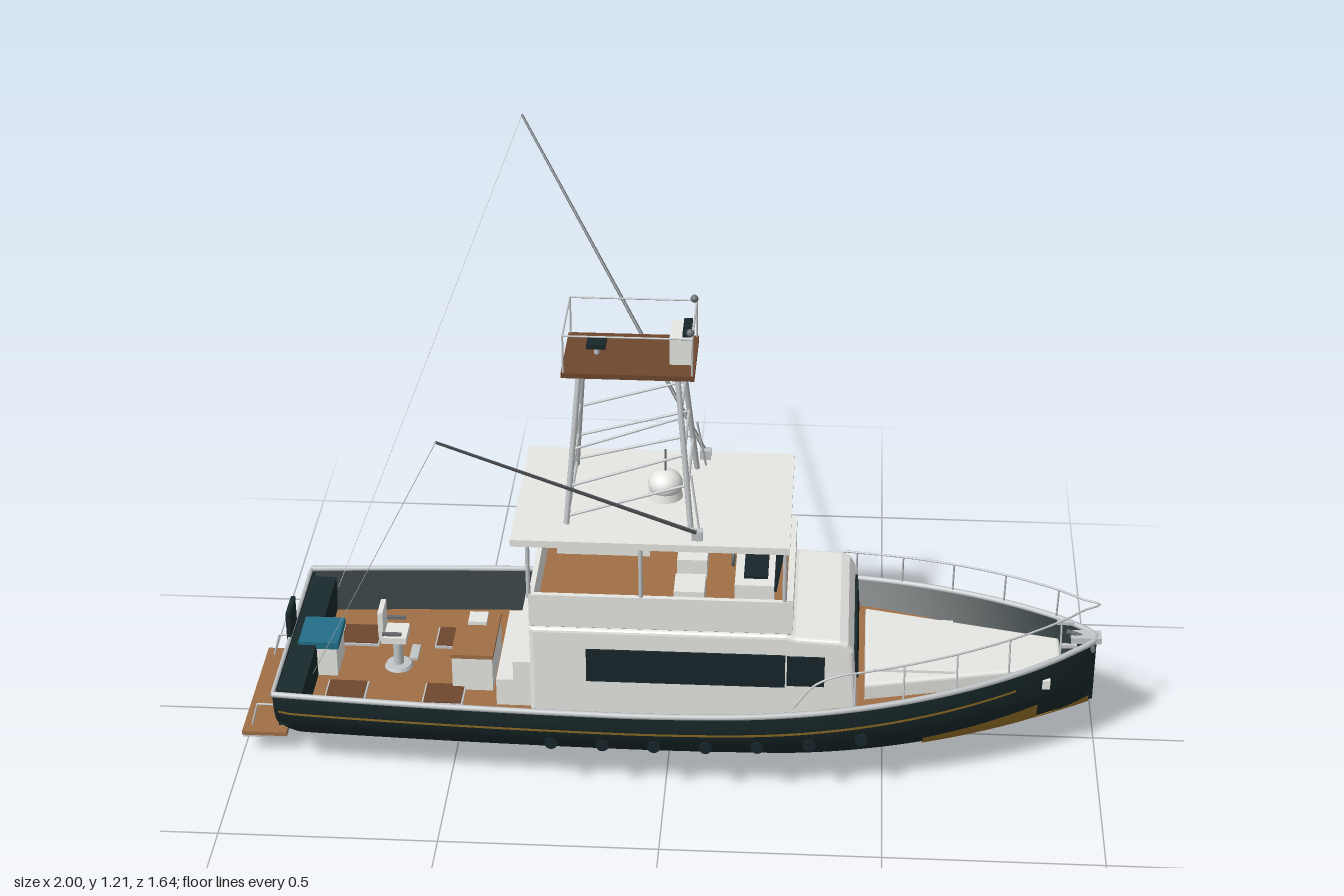
import * as THREE from 'three';

const V = (x, y, z) => new THREE.Vector3(x, y, z);
const mat = (name, hex, side = THREE.FrontSide) => {
  const m = new THREE.MeshStandardMaterial({ color: hex, side });
  m.name = name;
  return m;
};

// Hull lines: half beam, sheer, keel and section shape along x
const beam = x => x > 0.1 ? 0.315 * (1 - Math.min(1, (x - 0.1) / 0.89) ** 2.1) ** 0.8 : 0.315 - 0.04 * (0.1 - x) ** 2;
const sheer = x => 0.232 + 0.055 * Math.max(0, (x + 0.1) / 1.1) ** 1.5;
const keel = x => x > 0.25 ? 0.11 * ((x - 0.25) / 0.73) ** 1.6 : 0.03 * Math.max(0, (-0.85 - x) / 0.05) ** 2;
const half = (x, t) => beam(x) * (1 - (1 - t) ** 2.5) ** (0.75 - 0.5 * Math.max(0, x - 0.2));
const hullPoint = (x, t, side, off = 0) =>
  V(x, keel(x) + t * (sheer(x) - keel(x)) - off * (1 - t), side * (half(x, t) + off));
const tAt = (x, y) => (y - keel(x)) / (sheer(x) - keel(x));

// Smooth surface from a rule fn(u, v)
function grid(nu, nv, fn) {
  const pos = [], idx = [];
  for (let i = 0; i <= nu; i++) for (let j = 0; j <= nv; j++) pos.push(...fn(i / nu, j / nv).toArray());
  for (let i = 0; i < nu; i++) for (let j = 0; j < nv; j++) {
    const a = i * (nv + 1) + j, b = a + nv + 1;
    idx.push(a, b, a + 1, b, b + 1, a + 1);
  }
  const g = new THREE.BufferGeometry();
  g.setAttribute('position', new THREE.Float32BufferAttribute(pos, 3));
  g.setIndex(idx);
  g.computeVertexNormals();
  return g;
}

export function createModel() {
  const model = new THREE.Group();
  const hullDark = mat('hull dark green', 0x1a2a2c, THREE.DoubleSide);
  const gold = mat('gold', 0xa0782c, THREE.DoubleSide);
  const white = mat('white paint', 0xf0f0ed);
  const teak = mat('teak', 0xa07046, THREE.DoubleSide);
  const darkTeak = mat('dark teak', 0x6f482f);
  const glass = mat('dark glass', 0x18262a, THREE.DoubleSide);
  const metal = mat('metal', 0xc2c6c8);
  const pole = mat('dark pole', 0x6a6e71);
  const teal = mat('teal', 0x236f88);

  const add = (name, geo, m, x = 0, y = 0, z = 0) => {
    const mesh = new THREE.Mesh(geo, m);
    mesh.name = name;
    mesh.position.set(x, y, z);
    model.add(mesh);
    return mesh;
  };
  // Box given by its min and max corners
  const box = (name, m, x0, x1, y0, y1, z0, z1) => add(name, new THREE.BoxGeometry(x1 - x0, y1 - y0, z1 - z0), m,
    (x0 + x1) / 2, (y0 + y1) / 2, (z0 + z1) / 2);
  const rod = (name, m, a, b, r = 0.004, r2 = r) => {
    const d = b.clone().sub(a);
    const mesh = add(name, new THREE.CylinderGeometry(r2, r, d.length(), 8), m);
    mesh.position.copy(a).addScaledVector(d, 0.5);
    mesh.quaternion.setFromUnitVectors(V(0, 1, 0), d.normalize());
    return mesh;
  };
  const tube = (name, m, pts, r) => add(name, new THREE.TubeGeometry(new THREE.CatmullRomCurve3(pts), 160, r, 8), m);
  const skin = (name, m, x0, x1, t0, t1, off, nu, nv) => {
    for (const s of [1, -1]) add(name, grid(nu, nv, (u, v) =>
      hullPoint(x0 + (x1 - x0) * u, t0 + (t1 - t0) * (s > 0 ? v : 1 - v), s, off)), m);
  };

  // Hull, transom and painted patches
  skin('hullSide', hullDark, -0.9, 0.99, 0, 1, 0, 100, 24);
  add('transom', grid(2, 24, (u, v) => { const p = hullPoint(-0.9, v, 1); p.z *= 1 - 2 * u; return p; }), hullDark);
  box('transomBulkhead', hullDark, -0.895, -0.835, 0.13, 0.226, -0.25, 0.25);
  skin('bowPatch', gold, 0.59, 0.855, 0.13, 0.42, 0.003, 10, 6);
  skin('stemPatch', gold, 0.855, 0.98, 0, 0.13, 0.003, 8, 6);
  skin('sheerStripe', gold, -0.89, 0.8, 0.76, 0.79, 0.003, 60, 1);

  // Cap rail around the sheer
  const edge = (rule, x0, x1, n) => {
    const side = [...Array(n + 1)].map((_, i) => rule(x0 + (x1 - x0) * i / n));
    return [...side, ...side.slice(0, -1).reverse().map(p => V(p.x, p.y, -p.z))];
  };
  tube('capRail', metal, edge(x => V(x, sheer(x), beam(x) + 0.001), -0.9, 0.988, 30), 0.007);
  rod('transomRail', metal, V(-0.9, 0.232, -0.275), V(-0.9, 0.232, 0.275), 0.005);

  // Deck, lifting towards the bow, with inner bulwarks sloping up to the sheer
  const deckY = x => 0.14 + 0.06 * THREE.MathUtils.smoothstep(x, 0.1, 0.45);
  const deckHalf = x => Math.max(0.005, Math.min(half(x, tAt(x, deckY(x))), beam(x) - 0.042));
  const deckX = u => -0.89 + 1.84 * u;
  add('deck', grid(60, 2, (u, v) => V(deckX(u), deckY(deckX(u)), (2 * v - 1) * deckHalf(deckX(u)))), teak);
  for (const s of [1, -1]) add('innerBulwark', grid(60, 1, (u, v) => {
    const x = deckX(u);
    return V(x, v ? sheer(x) - 0.003 : deckY(x), s * (v ? beam(x) - 0.006 : deckHalf(x)));
  }), hullDark);

  // Portholes, hawse plates and bow cleats
  for (const s of [1, -1]) {
    for (let i = 0; i < 7; i++) {
      const x = -0.26 + i * 0.118, y = 0.136 + 0.022 * (i / 6) ** 2;
      const p = add('porthole', new THREE.CylinderGeometry(0.015, 0.015, 0.024, 16), glass, x, y, s * half(x, tAt(x, y)));
      p.rotation.x = Math.PI / 2;
    }
    const z = s * (half(0.87, 0.72) + 0.002);
    box('hawsePlate', white, 0.862, 0.88, 0.21, 0.232, z - 0.008, z + 0.008);
    box('bowCleat', metal, 0.9, 0.94, 0.285, 0.293, s * 0.05 - 0.005, s * 0.05 + 0.005);
  }
  box('anchorRoller', metal, 0.93, 1, 0.275, 0.29, -0.018, 0.018);
  rod('anchorShank', pole, V(0.92, 0.297, 0), V(0.995, 0.27, 0), 0.006);
  rod('anchorStock', pole, V(0.98, 0.268, -0.035), V(0.98, 0.268, 0.035), 0.006);

  // Bow rail with stanchions
  const railY = x => 0.33 + 0.043 * (x - 0.38) / 0.6;
  const railZ = x => Math.max(0, beam(x) - 0.02);
  const rail = edge(x => V(x, railY(x), railZ(x)), 0.4, 0.99, 16);
  tube('bowRail', metal, [V(0.29, 0.245, 0.28), V(0.34, 0.305, 0.273), ...rail, V(0.34, 0.305, -0.273), V(0.29, 0.245, -0.28)], 0.0026);
  for (const x of [0.43, 0.54, 0.66, 0.78, 0.9]) for (const s of [1, -1])
    rod('bowStanchion', metal, V(x, sheer(x), s * beam(x)), V(x, railY(x), s * railZ(x)), 0.0022);

  // Foredeck trunk
  const plan = new THREE.Shape([[0.46, -0.158], [0.9, -0.055], [0.9, 0.055], [0.46, 0.158]].map(p => new THREE.Vector2(...p)));
  add('foredeckTrunk', new THREE.ExtrudeGeometry(plan, { depth: 0.05, bevelSize: 0.008, bevelThickness: 0.008, bevelSegments: 3 })
    .rotateX(-Math.PI / 2), white, 0, 0.182, 0);
  box('foredeckHatch', white, 0.47, 0.66, 0.238, 0.247, -0.11, 0.11);

  // Deck house with side windows and windshield
  const profile = new THREE.Shape([[-0.305, 0.13], [0.43, 0.13], [0.415, 0.345], [0.405, 0.36], [0.39, 0.366], [0.29, 0.37], [0.27, 0.376], [-0.305, 0.376]]
    .map(p => new THREE.Vector2(...p)));
  add('deckHouse', new THREE.ExtrudeGeometry(profile, { depth: 0.38, bevelSize: 0.01, bevelThickness: 0.01, bevelSegments: 3 }), white, 0, 0, -0.19);
  for (const s of [1, -1]) {
    box('sideWindow', glass, -0.185, 0.27, 0.25, 0.335, s * 0.202 - 0.003, s * 0.202 + 0.003);
    box('forwardSideWindow', glass, 0.274, 0.36, 0.255, 0.333, s * 0.202 - 0.003, s * 0.202 + 0.003);
    const w = box('windshield', glass, 0.427, 0.435, 0.255, 0.335, s * 0.083 - 0.078, s * 0.083 + 0.078);
    w.rotation.z = 0.07;
  }
  box('houseStep', white, -0.4, -0.31, 0.13, 0.21, -0.15, 0.15);
  box('houseUpperStep', white, -0.36, -0.31, 0.2, 0.26, -0.15, 0.15);
  const ring = add('lifeRing', new THREE.TorusGeometry(0.028, 0.009, 10, 24), gold, -0.322, 0.285, -0.178);
  ring.rotation.y = Math.PI / 2;

  // Flybridge floor, coaming, helm and seats
  box('flybridgeFloor', teak, -0.31, 0.28, 0.382, 0.392, -0.19, 0.19);
  for (const s of [1, -1]) box('sideCoaming', white, -0.315, 0.285, 0.387, 0.47, s * 0.185 - 0.006, s * 0.185 + 0.006);
  box('frontCoaming', white, 0.27, 0.285, 0.387, 0.475, -0.19, 0.19);
  box('aftCoaming', white, -0.315, -0.303, 0.387, 0.47, -0.19, 0.19);
  box('helmConsole', white, 0.15, 0.24, 0.39, 0.475, -0.13, 0.13);
  box('helmPanel', glass, 0.17, 0.225, 0.475, 0.482, -0.1, 0.1);
  const wheel = add('steeringWheel', new THREE.TorusGeometry(0.022, 0.004, 8, 20), pole, 0.142, 0.475, 0);
  wheel.rotation.y = Math.PI / 2;
  for (const s of [1, -1]) {
    box('helmSeat', white, 0.01, 0.08, 0.39, 0.44, s * 0.07 - 0.04, s * 0.07 + 0.04);
    box('sideBench', white, -0.28, -0.06, 0.39, 0.43, s * 0.15 - 0.03, s * 0.15 + 0.03);
  }
  for (const z of [-0.114, 0, 0.114]) {
    const pane = box('flybridgeWindscreen', glass, 0.248, 0.254, 0.485, 0.585, z - 0.056, z + 0.056);
    pane.rotation.z = -0.15;
  }

  // Hard top and posts
  box('hardTop', white, -0.35, 0.275, 0.61, 0.627, -0.215, 0.215);
  for (const x of [-0.315, -0.06, 0.265]) for (const s of [1, -1])
    rod('hardTopPost', metal, V(x, 0.46, s * 0.185), V(x, 0.612, s * 0.185), 0.005);

  // Radar dome
  add('radarBase', new THREE.CylinderGeometry(0.036, 0.04, 0.02, 24), white, -0.015, 0.64, 0);
  add('radarDome', new THREE.SphereGeometry(0.04, 24, 16), white, -0.015, 0.662, 0).scale.y = 0.85;
  rod('radarSpike', pole, V(-0.015, 0.69, 0), V(-0.015, 0.75, 0), 0.002);

  // Lookout tower: leaning legs, braces, platform, rails
  const leg = (end, s, y) => { // end 0 is aft, 1 is forward
    const k = (y - 0.627) / 0.358;
    return end ? V(0.05 - 0.035 * k, y, s * (0.135 - 0.068 * k)) : V(-0.23 + 0.028 * k, y, s * (0.135 - 0.068 * k));
  };
  for (const s of [1, -1]) {
    for (const e of [0, 1]) rod('towerLeg', metal, leg(e, s, 0.627), leg(e, s, 0.985), 0.0065);
    for (const y of [0.645, 0.715, 0.8]) rod('towerBrace', metal, leg(0, s, y), leg(1, s, y + 0.08), 0.0032);
  }
  for (const y of [0.715, 0.8, 0.885]) {
    rod('towerRung', metal, leg(1, -1, y), leg(1, 1, y), 0.0035);
    rod('towerRung', metal, leg(0, -1, y - 0.08), leg(0, 1, y - 0.08), 0.0035);
  }
  box('towerPlatform', darkTeak, -0.24, 0.055, 0.978, 0.99, -0.1, 0.1);
  const corners = [[-0.235, -0.096], [0.05, -0.096], [0.05, 0.096], [-0.235, 0.096]];
  corners.forEach(([x, z], i) => {
    const [x2, z2] = corners[(i + 1) % 4];
    rod('towerRailPost', metal, V(x, 0.985, z), V(x, 1.08, z), 0.0022);
    rod('towerRail', metal, V(x, 1.08, z), V(x2, 1.08, z2), 0.0022);
    if (x > 0) add('towerLight', new THREE.SphereGeometry(0.009, 12, 8), pole, x - 0.005, 1.09, z * 0.88);
  });
  box('towerConsole', white, -0.003, 0.045, 0.99, 1.056, -0.045, 0.045);
  box('towerConsoleTop', glass, 0.025, 0.044, 1.056, 1.064, -0.04, 0.04);
  box('towerSeat', glass, -0.19, -0.147, 1.01, 1.02, -0.021, 0.021);
  rod('towerSeatPost', metal, V(-0.168, 0.985, 0), V(-0.168, 1.01, 0), 0.006);

  // Outriggers, lines and antennas
  for (const s of [1, -1]) {
    const tip = V(-0.415, 1.21, s * 0.82);
    box('outriggerBase', metal, 0.055, 0.08, 0.627, 0.65, s * 0.185 - 0.01, s * 0.185 + 0.01);
    rod('outrigger', pole, V(0.068, 0.642, s * 0.185), tip, 0.0048, 0.003);
    rod('outriggerLine', metal, tip, V(-0.82, 0.235, s * 0.19), 0.0007);
    rod('antenna', metal, V(0.07, 0.627, s * 0.15), V(0.05, 0.755, s * 0.125), 0.0025);
  }

  // Cockpit: hatches, bait station, fighting chair, cooler
  for (const s of [1, -1]) for (const x of [-0.757, -0.527]) {
    box('hatchFrame', metal, x - 0.048, x + 0.048, 0.139, 0.146, s * 0.122 - 0.043, s * 0.122 + 0.043);
    box('hatch', darkTeak, x - 0.044, x + 0.044, 0.14, 0.149, s * 0.122 - 0.039, s * 0.122 + 0.039);
  }
  box('baitStation', white, -0.51, -0.415, 0.14, 0.228, -0.093, 0.093);
  box('baitStationTop', teak, -0.512, -0.413, 0.228, 0.238, -0.096, 0.096);
  box('baitTray', white, -0.486, -0.442, 0.238, 0.247, -0.082, -0.036);
  rod('chairPost', metal, V(-0.65, 0.14, 0), V(-0.65, 0.225, 0), 0.012);
  add('chairFoot', new THREE.CylinderGeometry(0.03, 0.034, 0.008, 20), metal, -0.65, 0.145, 0);
  box('chairSeat', white, -0.685, -0.625, 0.222, 0.238, -0.034, 0.034);
  box('chairBack', white, -0.69, -0.678, 0.238, 0.305, -0.032, 0.032);
  for (const s of [1, -1]) box('chairArm', pole, -0.68, -0.635, 0.248, 0.255, s * 0.037 - 0.004, s * 0.037 + 0.004);
  box('chairFootrest', metal, -0.62, -0.6, 0.175, 0.182, -0.03, 0.03);
  box('cooler', white, -0.872, -0.788, 0.14, 0.216, -0.052, 0.052);
  box('coolerLid', teal, -0.877, -0.783, 0.216, 0.234, -0.056, 0.056);
  box('transomDoor', hullDark, -0.906, -0.896, 0.17, 0.3, -0.04, 0.04);

  // Swim platform with side frames
  box('swimPlatform', teak, -1, -0.895, 0.05, 0.06, -0.18, 0.18);
  box('platformUnderside', metal, -0.998, -0.895, 0.044, 0.05, -0.178, 0.178);
  for (const s of [1, -1]) {
    const z = s * 0.15;
    rod('platformPost', metal, V(-0.985, 0.044, z), V(-0.965, 0.118, z), 0.0025);
    rod('platformPost', metal, V(-0.91, 0.044, z), V(-0.91, 0.118, z), 0.0025);
    rod('platformRail', metal, V(-0.965, 0.118, z), V(-0.9, 0.118, z), 0.0025);
  }
  return model;
}
